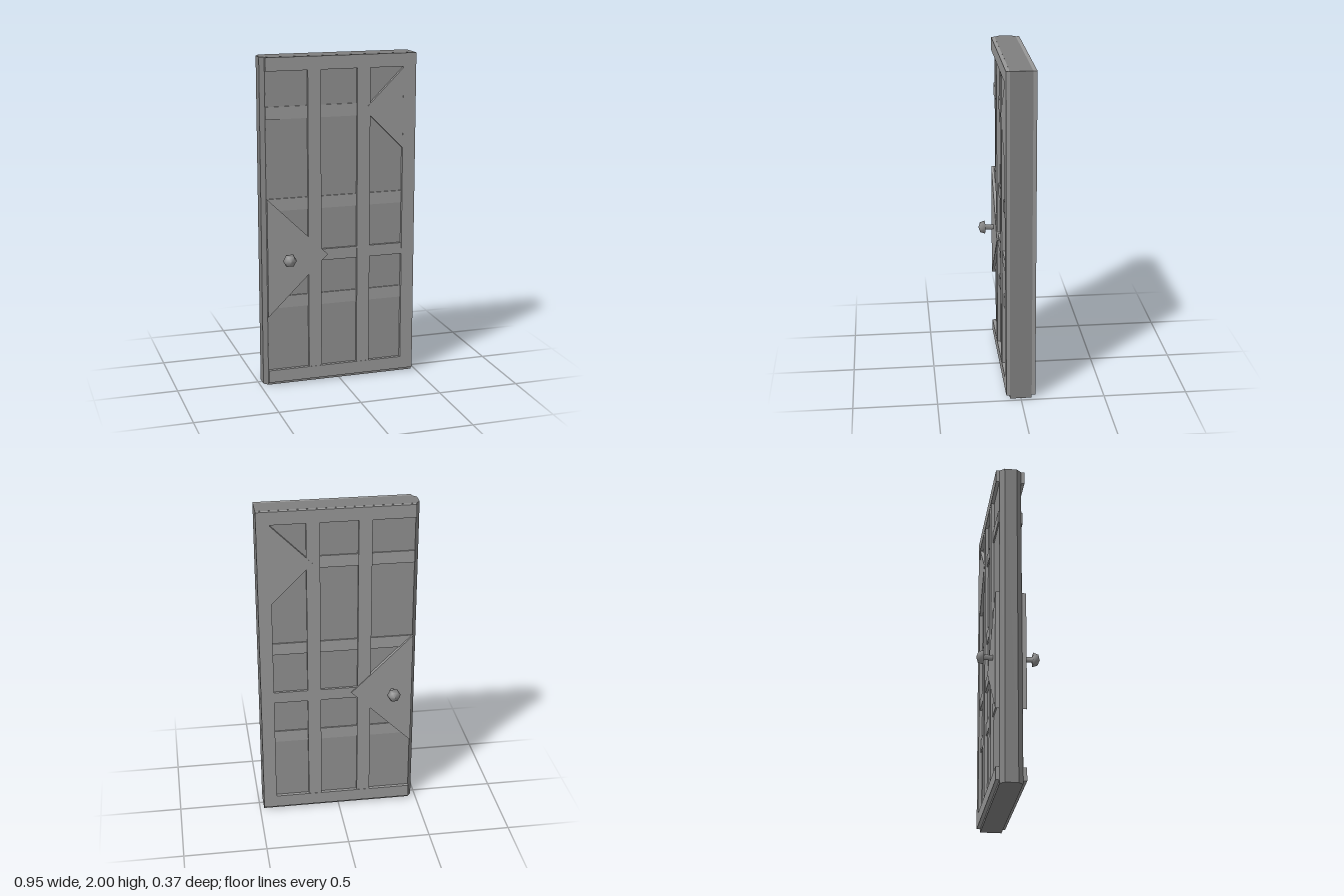
import * as THREE from 'three';

function paint(color, flatShading = true) {
  return new THREE.MeshStandardMaterial({ color, flatShading });
}

const edgePaint = paint(0x7f7f7f);
const panelPaint = paint(0x8f8f8f);
const framePaint = paint(0x979797);
const battenPaint = paint(0x9a9a9a);
const knobPaint = paint(0x8c8c8c, false);
const CORE = 0.065; // half thickness of the door leaf

function outline(points) {
  return new THREE.Shape(points.map(([x, y]) => new THREE.Vector2(x, y)));
}

function addMesh(group, name, geometry, material) {
  const mesh = new THREE.Mesh(geometry, material);
  mesh.name = name;
  group.add(mesh);
  return mesh;
}

// Flat piece lying on one face of the leaf, reaching out to z = side * top
function addRelief(group, name, side, points, top, material = framePaint) {
  const root = CORE - 0.005;
  const geometry = new THREE.ExtrudeGeometry(outline(points), { depth: top - root, bevelEnabled: false });
  geometry.translate(0, 0, side > 0 ? root : -top);
  addMesh(group, name, geometry, material);
}

function rect(x0, x1, y0, y1) {
  return [[x0, y0], [x1, y0], [x1, y1], [x0, y1]];
}

function createFace(side, name) {
  const face = new THREE.Group();
  face.name = name;

  // Recessed panel behind the bars
  addRelief(face, 'panel', side, rect(-0.449, 0.4, 0.09, 1.93), 0.066, panelPaint);

  // Frame, open along the latch edge
  addRelief(face, 'frame', side, [
    [-0.45, 0.02], [0.4745, 0.02], [0.4745, 1.9995], [-0.45, 1.9995],
    [-0.45, 1.92], [0.395, 1.92], [0.395, 0.097], [-0.45, 0.097],
  ], 0.087);

  // Upright bars and the middle rail
  for (const x of [-0.156, 0.149]) {
    addRelief(face, 'uprightBar', side, rect(x - 0.04, x + 0.04, 0.09, 1.93), 0.085);
  }
  addRelief(face, 'middleRail', side, rect(-0.15, 0.4, 0.767, 0.837), 0.081);

  // Low cross battens
  for (const y of [0.525, 1.127, 1.675]) {
    addRelief(face, 'crossBatten', side, rect(-0.45, 0.4, y - 0.037, y + 0.037), 0.074, battenPaint);
  }

  // Triangular plates
  addRelief(face, 'latchPlate', side, [[-0.45, 0.44], [-0.077, 0.805], [-0.45, 1.168]], 0.09);
  addRelief(face, 'hingePlate', side, [[0.4, 1.425], [0.4, 1.918], [0.153, 1.672]], 0.0865);

  // Six-sided door knob on a stem
  const profile = [
    [0.016, 0.08], [0.016, 0.14], [0.042, 0.144], [0.032, 0.174], [0, 0.185],
  ].map(([r, z]) => new THREE.Vector2(r, z));
  const knob = new THREE.LatheGeometry(profile, 6, Math.PI / 2);
  knob.rotateX(side * Math.PI / 2);
  addMesh(face, 'knob', knob, knobPaint).position.set(-0.33, 0.8, 0);

  return face;
}

export function createModel() {
  const door = new THREE.Group();
  door.name = 'door';

  // Leaf: plan shape with a chamfered latch edge, raised to full height
  const leaf = new THREE.ExtrudeGeometry(outline([
    [0.475, -CORE], [0.475, CORE], [-0.45, CORE],
    [-0.475, 0.037], [-0.475, -0.037], [-0.45, -CORE],
  ]), { depth: 2, bevelEnabled: false });
  leaf.rotateX(-Math.PI / 2);
  addMesh(door, 'leaf', leaf, edgePaint);

  door.add(createFace(1, 'frontFace'), createFace(-1, 'backFace'));
  return door;
}
